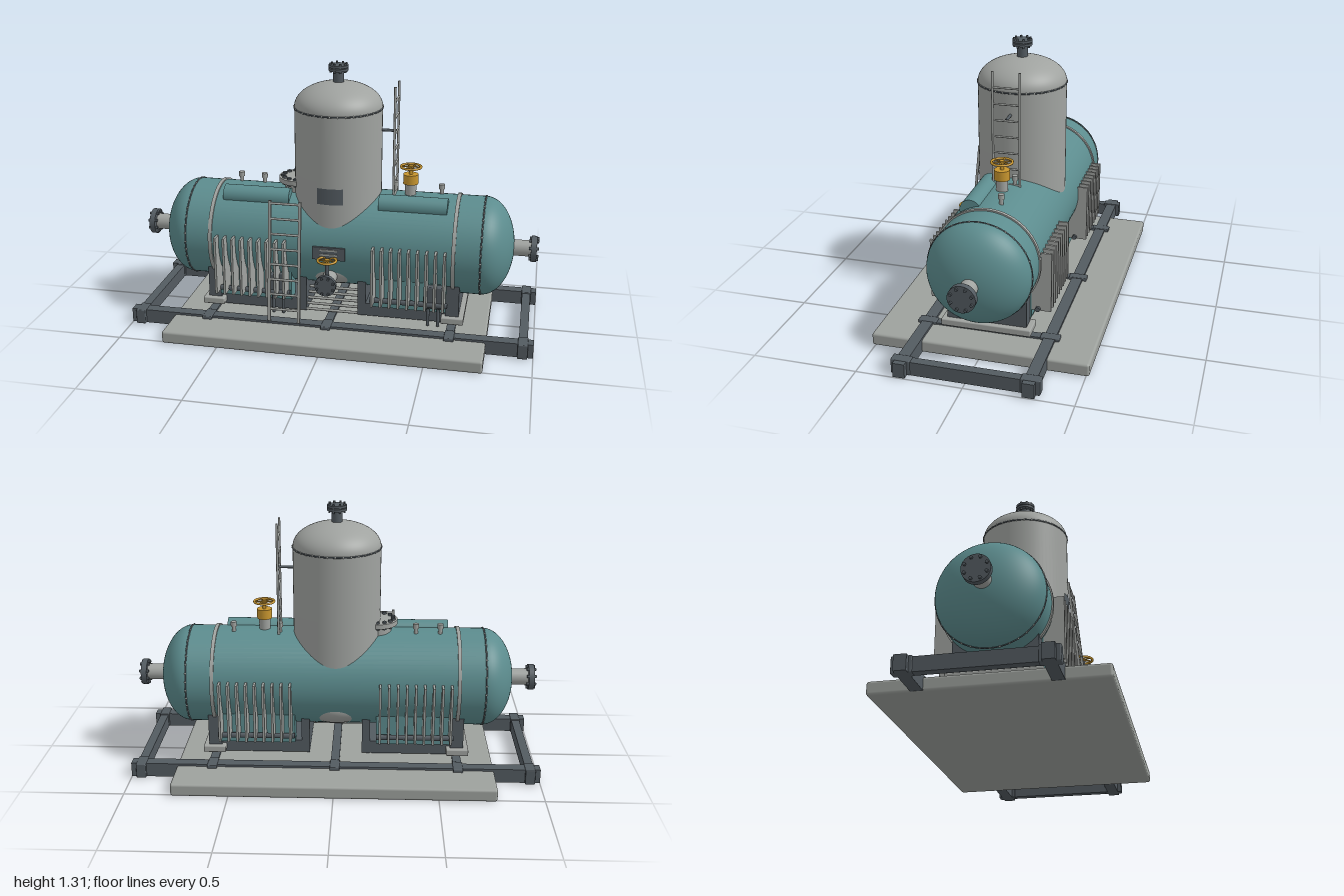
import * as THREE from 'three';
import { RoundedBoxGeometry } from 'three/addons/geometries/RoundedBoxGeometry.js';

const paint = (name, color) => {
  const m = new THREE.MeshStandardMaterial({ color });
  m.name = name;
  return m;
};

export function createModel() {
  const teal = paint('teal paint', 0x5c8c8e);
  const steel = paint('pale steel', 0xa0a3a0);
  const concrete = paint('concrete', 0x9da19d);
  const dark = paint('dark steel', 0x535b61);
  const brass = paint('brass yellow', 0xc8962f);
  const root = new THREE.Group();
  root.name = 'separatorSkid';

  const group = (name, x = 0, y = 0, z = 0, parent = root) => {
    const g = new THREE.Group();
    g.name = name;
    g.position.set(x, y, z);
    parent.add(g);
    return g;
  };
  const add = (name, geo, mat, x = 0, y = 0, z = 0, parent = root) => {
    const m = new THREE.Mesh(geo, mat);
    m.name = name;
    m.position.set(x, y, z);
    parent.add(m);
    return m;
  };
  const box = (name, mat, w, h, d, x, y, z, parent) =>
    add(name, new THREE.BoxGeometry(w, h, d), mat, x, y, z, parent);
  const rounded = (name, mat, w, h, d, x, y, z, r = 0.008) =>
    add(name, new RoundedBoxGeometry(w, h, d, 2, r), mat, x, y, z);
  // Round bar from point a to point b
  const rod = (name, mat, r, a, b, parent = root, sides = 24) => {
    const p = new THREE.Vector3(...a), q = new THREE.Vector3(...b);
    const dir = q.clone().sub(p);
    const m = add(name, new THREE.CylinderGeometry(r, r, dir.length(), sides), mat, 0, 0, 0, parent);
    m.position.copy(p).add(q).multiplyScalar(0.5);
    m.quaternion.setFromUnitVectors(new THREE.Vector3(0, 1, 0), dir.normalize());
    return m;
  };
  // Closed tank with elliptical heads, along y from -half to +half
  const tank = (r, half, head) => {
    const pts = [];
    for (let i = 0; i <= 18; i++) {
      const a = (i / 18) * Math.PI / 2;
      pts.push(new THREE.Vector2(r * Math.sin(a), -half + head - head * Math.cos(a)));
    }
    const top = pts.map(p => new THREE.Vector2(p.x, -p.y)).reverse();
    return new THREE.LatheGeometry([...pts, ...top], 64);
  };
  // Flange disc with a ring of bolts, axis along local y
  const flange = (name, mat, r, thick, bolts, parent, y = 0) => {
    const g = group(name, 0, y, 0, parent);
    add('disc', new THREE.CylinderGeometry(r, r, thick, 32), mat, 0, 0, 0, g);
    for (let i = 0; i < bolts; i++) {
      const a = ((i + 0.5) / bolts) * Math.PI * 2;
      add('bolt', new THREE.CylinderGeometry(r * 0.12, r * 0.12, thick + 0.018, 6), dark,
        Math.cos(a) * r * 0.8, 0, Math.sin(a) * r * 0.8, g);
    }
    return g;
  };
  // Handwheel lying flat
  const handwheel = (r, x, y, z) => {
    const g = group('handwheel', x, y, z);
    add('rim', new THREE.TorusGeometry(r, 0.006, 8, 32), brass, 0, 0, 0, g).rotation.x = Math.PI / 2;
    for (let i = 0; i < 3; i++) {
      const a = (i / 3) * Math.PI, c = Math.cos(a) * r, s = Math.sin(a) * r;
      rod('spoke', brass, 0.004, [-c, 0, -s], [c, 0, s], g, 8);
    }
    add('hub', new THREE.CylinderGeometry(0.012, 0.012, 0.014, 16), brass, 0, 0, 0, g);
  };
  // Seam ring with rivets, axis along local y
  const seam = (r, parent, y) => {
    const g = group('seam', 0, y, 0, parent);
    add('seamRing', new THREE.TorusGeometry(r, 0.004, 6, 64), dark, 0, 0, 0, g).rotation.x = Math.PI / 2;
    for (let i = 0; i < 36; i++) {
      const a = (i / 36) * Math.PI * 2;
      add('rivet', new THREE.SphereGeometry(0.0055, 6, 4), steel, Math.cos(a) * r, 0, Math.sin(a) * r, g);
    }
  };

  // Foundation slab and skid frame
  rounded('slab', concrete, 1.55, 0.062, 1.03, 0, 0.031, 0, 0.012);
  for (const s of [-1, 1]) {
    box('longBeam', dark, 2, 0.07, 0.055, 0, 0.038, s * 0.295);
    for (const x of [-0.95, -0.6, 0, 0.6, 0.95])
      rounded('beamCollar', dark, 0.048, 0.074, 0.09, x, 0.04, s * 0.297, 0.005);
  }
  for (const x of [-0.95, -0.6, 0, 0.6, 0.95]) box('crossBeam', dark, 0.042, 0.066, 0.6, x, 0.038, 0);

  // Horizontal vessel
  const CY = 0.43, R = 0.243;
  const vessel = group('vessel', 0, CY, 0);
  vessel.rotation.z = -Math.PI / 2;
  add('vesselShell', tank(R, 0.878, 0.15), teal, 0, 0, 0, vessel);
  for (const s of [-1, 1]) {
    seam(R, vessel, s * 0.728);
    add('strap', new THREE.CylinderGeometry(0.25, 0.25, 0.018, 64), steel, 0, s * 0.6, 0, vessel);
    rod('endNeck', steel, 0.04, [0, s * 0.86, 0], [0, s * 0.96, 0], vessel);
    flange('endFlange', dark, 0.064, 0.028, 8, vessel, s * 0.972);
  }

  // Vertical dome, running through the vessel to a small sump below
  add('dome', tank(0.215, 0.5125, 0.12), steel, 0, 0.7075, 0);
  const domeTop = group('domeTop');
  seam(0.215, domeTop, 1.097);
  rod('topNeck', dark, 0.026, [0, 1.2, 0], [0, 1.29, 0], domeTop);
  flange('topFlange', dark, 0.048, 0.012, 8, domeTop, 1.28);
  flange('topCover', dark, 0.048, 0.012, 8, domeTop, 1.296);

  // Plates on the dome and the vessel
  const plate = (name, r, w, h, y) => add(name,
    new THREE.CylinderGeometry(r, r, h, 12, 1, true, -w / r / 2, w / r), dark, 0, y, 0);
  plate('domePlate', 0.22, 0.13, 0.08, 0.705);
  box('vesselPlate', dark, 0.16, 0.065, 0.009, 0, 0.425, 0.247);
  for (const y of [0.42, 0.443]) box('plateStrip', steel, 0.085, 0.008, 0.006, 0, y, 0.253);

  // Saddles, base plates and pedestals
  for (const s of [-1, 1]) {
    box('saddle', dark, 0.065, 0.17, 0.38, s * 0.6, 0.195, 0);
    rounded('saddleBase', steel, 0.11, 0.034, 0.43, s * 0.603, 0.103, 0, 0.006);
    box('innerSaddle', dark, 0.04, 0.2, 0.34, s * 0.15, 0.175, 0);
    box('pedestal', dark, 0.4, 0.065, 0.34, s * 0.37, 0.108, 0);
    for (const z of [-1, 1]) {
      box('lowerTank', teal, 0.37, 0.15, 0.08, s * 0.385, 0.215, z * 0.157);
      rod('finHeader', dark, 0.013, [s * 0.2, 0.19, z * 0.228], [s * 0.58, 0.19, z * 0.228], root, 6);
      // Cooling fins
      for (let i = 0; i < 9; i++)
        box('coolingFin', steel, 0.011, 0.295, 0.1, s * (0.218 + i * 0.043), 0.328, z * 0.24);
    }
    // Rounded cover along the upper front
    rod('topCover', teal, 0.05, [s * 0.222, 0.642, 0.095], [s * 0.555, 0.642, 0.095], root, 32);
  }

  // Pipe rack between the inner saddles
  for (let i = 0; i < 5; i++)
    rod('rackPipe', steel, 0.007, [-0.13, 0.085 + i * 0.022, 0.17 - i * 0.02], [0.13, 0.085 + i * 0.022, 0.17 - i * 0.02], root, 10);

  // Junction boxes on legs
  for (const x of [-0.265, 0.51]) {
    rounded('junctionBox', dark, 0.095, 0.115, 0.045, x, 0.225, 0.207, 0.005);
    for (const dx of [-0.025, 0.025]) rod('boxLeg', dark, 0.008, [x + dx, 0.07, 0.207], [x + dx, 0.2, 0.207], root, 10);
  }

  // Front outlet with valve
  rod('outletNeck', steel, 0.035, [0, 0.29, 0.15], [0, 0.29, 0.315]);
  const outlet = group('outlet', 0, 0.29, 0.322);
  outlet.rotation.x = Math.PI / 2;
  flange('outletFlange', dark, 0.052, 0.022, 8, outlet);
  rod('outletStem', dark, 0.009, [0, 0.3, 0.285], [0, 0.41, 0.285], root, 12);
  handwheel(0.045, 0, 0.405, 0.285);

  // Top relief valve
  rod('valveNeck', steel, 0.028, [0.36, 0.64, 0], [0.36, 0.73, 0]);
  rod('valveBody', brass, 0.037, [0.36, 0.727, 0], [0.36, 0.775, 0]);
  rod('valveStem', brass, 0.009, [0.36, 0.77, 0], [0.36, 0.816, 0], root, 12);
  handwheel(0.049, 0.36, 0.812, 0);

  // Manway beside the dome
  const manway = group('manway', -0.2, 0, 0);
  rod('manwayNeck', steel, 0.07, [0, 0.6, 0], [0, 0.71, 0], manway);
  flange('manwayCover', steel, 0.1, 0.024, 14, manway, 0.718);

  // Small capped stubs along the top
  for (const x of [-0.51, -0.39, 0.28, 0.51]) {
    rod('stub', steel, 0.01, [x, 0.65, -0.04], [x, 0.705, -0.04], root, 16);
    rod('stubCap', steel, 0.015, [x, 0.695, -0.04], [x, 0.718, -0.04], root, 16);
  }

  // Leaning front ladder
  const frontLadder = group('frontLadder');
  const leanZ = y => 0.325 - (y - 0.08) * 0.1;
  for (const x of [-0.283, -0.135])
    box('rail', steel, 0.014, 0.61, 0.012, x, 0.382, leanZ(0.382), frontLadder).rotation.x = -0.1;
  for (let i = 0; i < 8; i++) {
    const y = 0.14 + i * 0.076;
    rod('rung', steel, 0.006, [-0.283, y, leanZ(y)], [-0.135, y, leanZ(y)], frontLadder, 10);
  }

  // Dome ladder with stand-off brackets
  const domeLadder = group('domeLadder');
  for (const z of [-0.065, 0.065]) {
    rod('rail', steel, 0.006, [0.285, 0.64, z], [0.285, 1.22, z], domeLadder, 10);
  }
  rod('bracket', dark, 0.007, [0.2, 0.99, 0], [0.285, 0.99, 0], domeLadder, 10);
  for (let i = 0; i < 7; i++)
    rod('rung', steel, 0.005, [0.285, 0.67 + i * 0.079, -0.065], [0.285, 0.67 + i * 0.079, 0.065], domeLadder, 10);

  return root;
}
